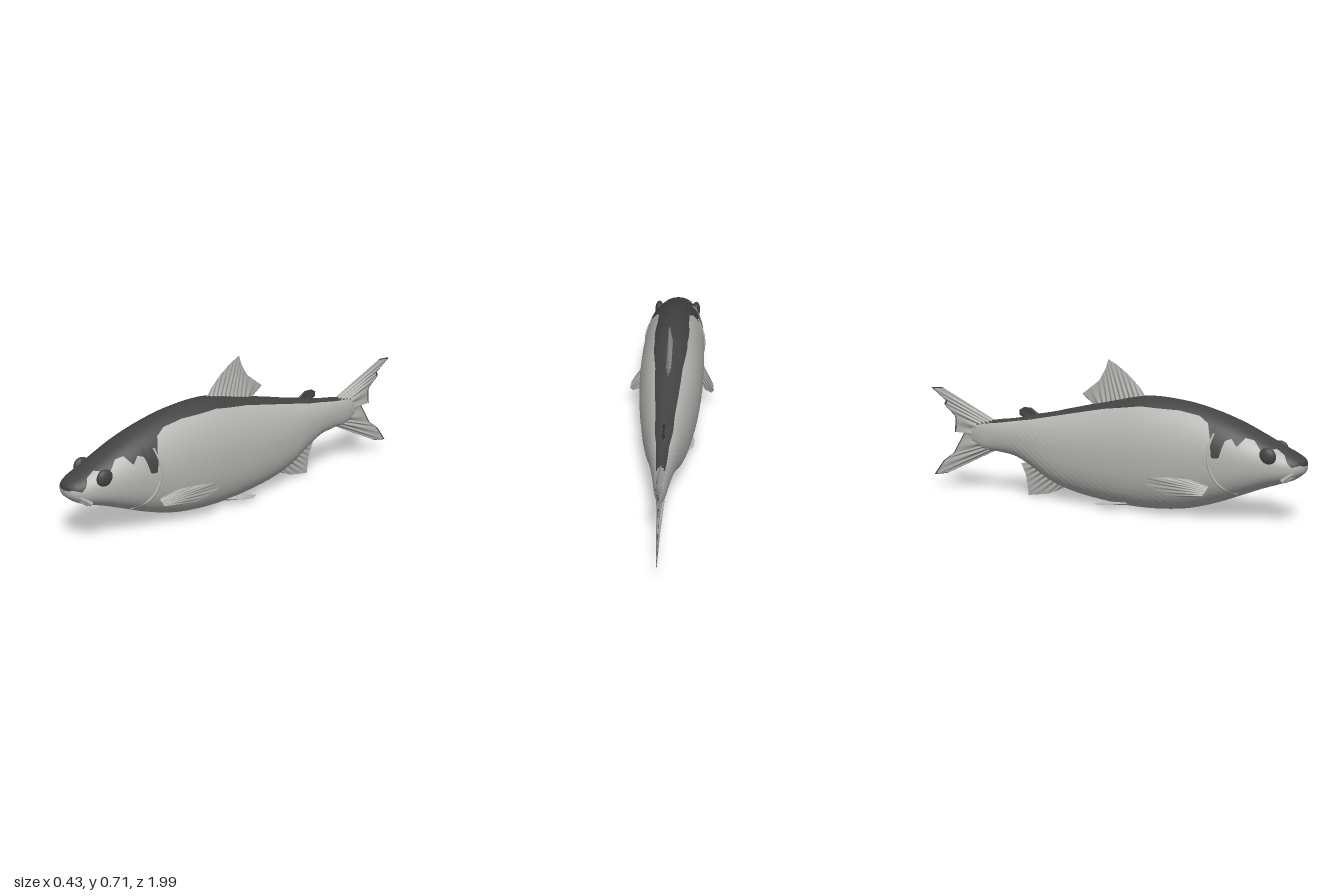
import * as THREE from 'three';

const mat = (name, color, side = THREE.FrontSide) =>
  Object.assign(new THREE.MeshStandardMaterial({ color, side }), { name });

// Body stations from tail to nose: z, top y, bottom y, half width
const STATIONS = [
  [-0.76, 0.335, 0.255, 0.008], [-0.7, 0.36, 0.225, 0.026], [-0.6, 0.38, 0.215, 0.042],
  [-0.5, 0.395, 0.2, 0.06], [-0.4, 0.42, 0.152, 0.08], [-0.3, 0.44, 0.095, 0.1],
  [-0.2, 0.465, 0.06, 0.117], [0, 0.512, 0.025, 0.143], [0.2, 0.553, 0.01, 0.156],
  [0.4, 0.542, 0.024, 0.157], [0.5, 0.522, 0.047, 0.154], [0.6, 0.493, 0.08, 0.15],
  [0.7, 0.455, 0.12, 0.14], [0.8, 0.408, 0.16, 0.122], [0.9, 0.358, 0.195, 0.1],
  [0.95, 0.335, 0.215, 0.082], [0.98, 0.317, 0.237, 0.058], [0.994, 0.303, 0.255, 0.032],
  [1, 0.282, 0.278, 0.004],
];
// Lower edge of the dark back: z, y
const EDGE = [
  [-0.76, 0.33], [-0.7, 0.352], [-0.6, 0.365], [-0.4, 0.4], [-0.2, 0.443], [0, 0.485], [0.2, 0.514],
  [0.4, 0.508], [0.5, 0.49], [0.55, 0.46], [0.57, 0.4], [0.585, 0.31], [0.62, 0.31], [0.64, 0.39],
  [0.67, 0.4], [0.7, 0.365], [0.73, 0.405], [0.77, 0.395], [0.81, 0.35], [0.87, 0.36], [0.91, 0.335],
  [0.93, 0.3], [0.95, 0.282], [0.98, 0.29], [1, 0.281],
];
const spline = (k) => {
  const f = new THREE.CubicInterpolant(STATIONS.map((s) => s[0]), STATIONS.map((s) => s[k]), 1, []);
  return (z) => f.evaluate(z)[0];
};
const topAt = spline(1), bottomAt = spline(2), widthAt = spline(3);

function edgeAt(z) {
  const i = Math.max(1, EDGE.findIndex((e) => e[0] >= z - 1e-9));
  const [a, b] = [EDGE[i - 1], EDGE[i]];
  return THREE.MathUtils.lerp(a[1], b[1], (z - a[0]) / (b[0] - a[0]));
}

// Cross-section: elliptical above, slightly boxy below; angle 0 is the ridge
const power = (c) => (c < 0 ? 2.4 : 2);
function bodyPoint(z, angle) {
  const t = topAt(z), b = bottomAt(z), s = Math.sin(angle), c = Math.cos(angle), e = 2 / power(c);
  return new THREE.Vector3(
    widthAt(z) * Math.sign(s) * Math.abs(s) ** e,
    (t + b) / 2 + ((t - b) / 2) * Math.sign(c) * Math.abs(c) ** e, z);
}
function angleAt(z, y) {
  const t = topAt(z), b = bottomAt(z), d = THREE.MathUtils.clamp((2 * y - t - b) / (t - b), -0.99, 0.99);
  return Math.acos(Math.sign(d) * Math.abs(d) ** (power(d) / 2));
}

// Smooth sheet from a rule (u, v) -> Vector3
function sheet(rule, nu, nv) {
  const pos = [], index = [];
  for (let i = 0; i <= nu; i++) {
    for (let j = 0; j <= nv; j++) pos.push(...rule(i / nu, j / nv).toArray());
  }
  for (let i = 0; i < nu; i++) {
    for (let j = 0; j < nv; j++) {
      const a = i * (nv + 1) + j, b = a + nv + 1;
      index.push(a, b, a + 1, b, b + 1, a + 1);
    }
  }
  const g = new THREE.BufferGeometry();
  g.setAttribute('position', new THREE.Float32BufferAttribute(pos, 3));
  g.setIndex(index);
  g.computeVertexNormals();
  return g;
}

// Point along an evenly spaced polyline
function along(points, u) {
  const f = u * (points.length - 1), i = Math.min(Math.floor(f), points.length - 2);
  return new THREE.Vector3(...points[i]).lerp(new THREE.Vector3(...points[i + 1]), f - i);
}

// Thin ribbed fin spanning a root line and an outer edge
function fin(root, outer, normal, thick, rays, v0 = 0, v1 = 1) {
  const n = new THREE.Vector3(...normal).normalize();
  return sheet((s, t) => {
    const side = s < 0.5 ? 1 : -1, u = s < 0.5 ? s * 2 : 2 - s * 2, v = v0 + (v1 - v0) * t;
    const rib = 0.65 + 0.35 * Math.cos(u * rays * Math.PI * 2);
    const h = thick * (1.08 - v) * rib * Math.min(1, 8 * u, 8 * (1 - u));
    return along(root, u).lerp(along(outer, u), v).addScaledVector(n, side * h);
  }, rays * 16, 10);
}

const tube = (points, radius) => new THREE.TubeGeometry(
  new THREE.CatmullRomCurve3(points.map((p) => (p.isVector3 ? p : new THREE.Vector3(...p)))), 32, radius, 8);
const upright = (points) => points.map(([z, y]) => [0, y, z]);
const mirrored = (points) => points.map(([x, y, z]) => [-x, y, z]);

export function createModel() {
  const silver = mat('silver', 0xb6b6b3);
  const dark = mat('dark back', 0x434343);
  const finSilver = mat('fin silver', 0xb0b0ad, THREE.DoubleSide);
  const finDark = mat('fin dark', 0x434343, THREE.DoubleSide);
  const group = new THREE.Group();
  group.name = 'fish';
  const add = (name, geometry, material) => {
    const m = new THREE.Mesh(geometry, material);
    m.name = name;
    group.add(m);
    return m;
  };

  // Body, split along the edge of the dark back; stations tighten at the nose
  const zAt = (u) => -0.76 + 1.76 * (1 - (1 - u) ** 1.5);
  add('back', sheet((u, v) => {
    const z = zAt(u), a = angleAt(z, edgeAt(z));
    return bodyPoint(z, a * (2 * v - 1));
  }, 220, 24), dark);
  add('flanksAndBelly', sheet((u, v) => {
    const z = zAt(u), a = angleAt(z, edgeAt(z));
    const p = bodyPoint(z, a + (2 * Math.PI - 2 * a) * v);
    // faint scale ripple on the flanks
    const fade = THREE.MathUtils.smoothstep(z, -0.65, -0.4) * (1 - THREE.MathUtils.smoothstep(z, 0.4, 0.55));
    const flank = Math.sin(Math.PI * Math.min(1, 2 * Math.min(v, 1 - v)) ) ;
    p.x += Math.sign(p.x) * 0.0012 * fade * flank * Math.sin(z * 150 + p.y * 60) * Math.sin(p.y * 130);
    return p;
  }, 220, 72), silver);

  // Vertical fins
  add('dorsalFin', fin(upright([[0.2, 0.54], [-0.07, 0.485]]),
    upright([[0.17, 0.585], [0.11, 0.645], [0.05, 0.69], [0, 0.717], [-0.015, 0.67], [-0.05, 0.61], [-0.14, 0.54]]),
    [1, 0, 0], 0.013, 11), finSilver);
  add('adiposeFin', fin(upright([[-0.36, 0.415], [-0.45, 0.395]]),
    upright([[-0.385, 0.43], [-0.42, 0.451], [-0.46, 0.452], [-0.488, 0.435], [-0.485, 0.41]]),
    [1, 0, 0], 0.012, 1), finDark);
  add('analFin', fin(upright([[-0.2, 0.08], [-0.42, 0.175]]),
    upright([[-0.25, 0.055], [-0.33, 0.022], [-0.44, 0.004], [-0.447, 0.06], [-0.455, 0.11], [-0.48, 0.165]]),
    [1, 0, 0], 0.014, 9), finSilver);
  const tail = [upright([[-0.62, 0.372], [-0.62, 0.22]]),
    upright([[-0.93, 0.522], [-0.995, 0.517], [-0.91, 0.455], [-0.92, 0.435], [-0.855, 0.375], [-0.86, 0.295],
      [-0.805, 0.295], [-0.87, 0.185], [-0.93, 0.14], [-0.987, 0.062], [-0.91, 0.075]]), [1, 0, 0], 0.022, 12];
  add('tailFin', fin(...tail, 0, 0.97), finSilver);
  add('tailFinEdge', fin(...tail, 0.97, 1), finDark);

  // Paired fins: root, outer edge, normal
  const paired = {
    PectoralFin: [[[0.138, 0.175, 0.57], [0.118, 0.12, 0.53]],
      [[0.155, 0.2, 0.48], [0.18, 0.207, 0.39], [0.207, 0.205, 0.31], [0.213, 0.19, 0.27],
        [0.2, 0.155, 0.3], [0.168, 0.117, 0.38], [0.13, 0.11, 0.47]], [0.75, -0.6, 0.3], 0.009, 8],
    PelvicFin: [[[0.075, 0.035, 0.15], [0.055, 0.028, 0.07]],
      [[0.105, 0.036, 0.11], [0.125, 0.03, 0.06], [0.125, 0.025, 0.01], [0.1, 0.022, -0.03], [0.07, 0.024, 0]],
      [0, 1, 0], 0.007, 6],
  };
  for (const [name, [root, outer, normal, thick, rays]] of Object.entries(paired)) {
    add('left' + name, fin(root, outer, normal, thick, rays), finSilver);
    add('right' + name, fin(mirrored(root), mirrored(outer), mirrored([normal])[0], thick, rays), finSilver);
  }

  // Eyes and gill cover rims
  for (const [side, s] of [['left', 1], ['right', -1]]) {
    const eye = add(side + 'Eye', new THREE.SphereGeometry(1, 24, 16), dark);
    eye.position.set(s * 0.098, 0.327, 0.838);
    eye.scale.set(0.022, 0.042, 0.042);
    const rim = [[0.585, 0.42], [0.567, 0.34], [0.575, 0.26], [0.62, 0.18], [0.69, 0.135]].map(([z, y]) =>
      bodyPoint(z, s * angleAt(z, y)));
    add(side + 'GillRim', tube(rim, 0.006), silver);
  }

  // Lips
  const arch = (half) => [...mirrored(half), [0, half[2][1] + 0.004, half[2][2] + 0.004], ...half.slice().reverse()];
  add('upperLip', tube(arch([[0.086, 0.215, 0.905], [0.072, 0.25, 0.945], [0.035, 0.276, 0.977]]), 0.011), silver);
  add('lowerLip', tube(arch([[0.075, 0.215, 0.915], [0.058, 0.235, 0.945], [0.028, 0.25, 0.972]]), 0.011), silver);
  return group;
}
